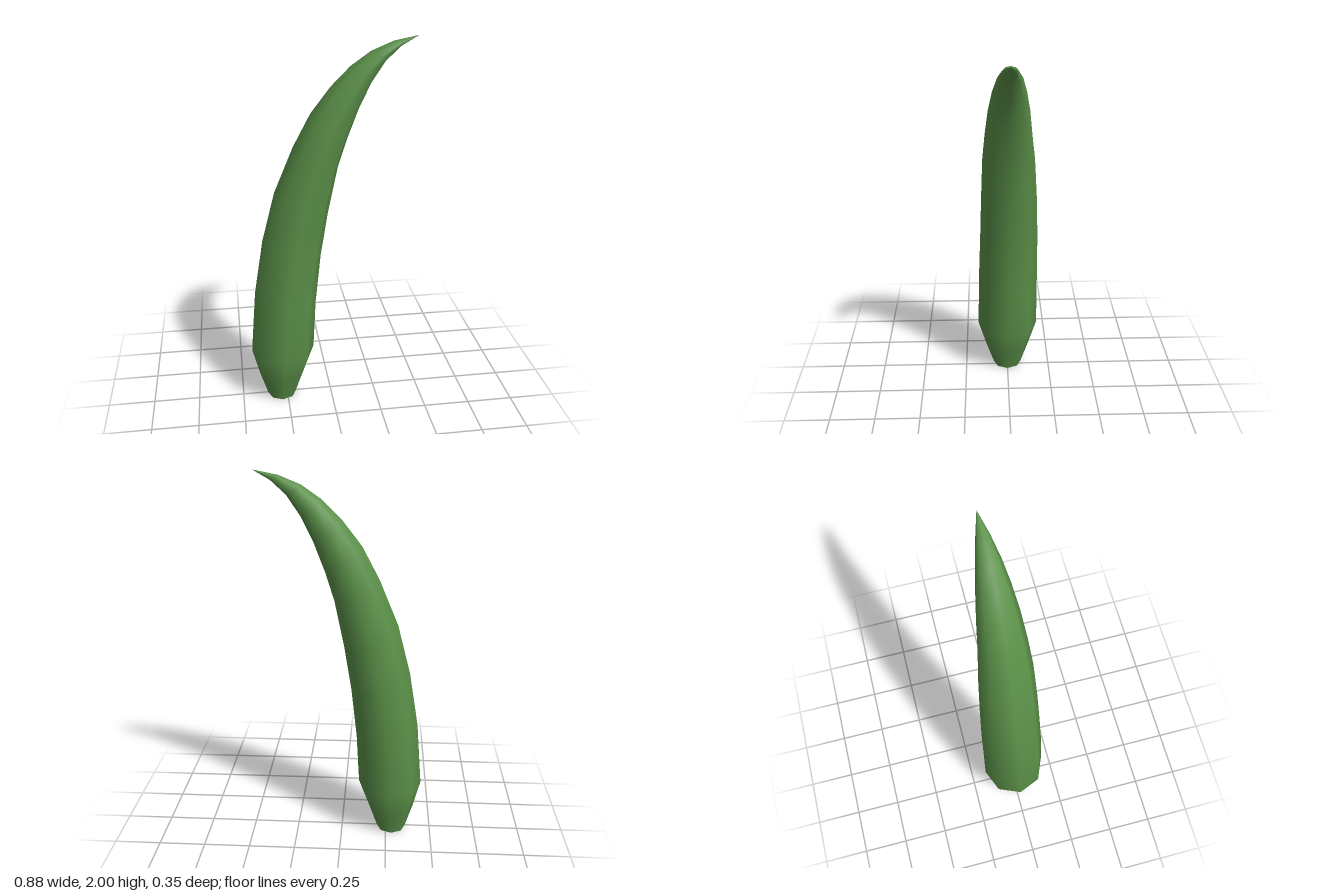
import * as THREE from 'three';

// Each cross-section: outer edge x, y, inner edge x, y, half depth, depth offset
const SECTIONS = [
  [-0.36, 0, -0.2, 0, 0.083, 0],
  [-0.4, 0.13, -0.15, 0.14, 0.127, 0],
  [-0.44, 0.29, -0.095, 0.29, 0.173, -0.001],
  [-0.41, 0.65, -0.08, 0.57, 0.168, -0.004],
  [-0.36, 0.95, -0.05, 0.85, 0.16, -0.008],
  [-0.29, 1.22, -0.012, 1.09, 0.15, -0.007],
  [-0.19, 1.46, 0.04, 1.345, 0.136, -0.003],
  [-0.1, 1.63, 0.085, 1.49, 0.119, 0],
  [0, 1.76, 0.145, 1.65, 0.102, 0],
  [0.1, 1.86, 0.205, 1.775, 0.082, 0],
  [0.2, 1.93, 0.275, 1.88, 0.059, 0],
  [0.31, 1.975, 0.35, 1.95, 0.033, 0],
  [0.437, 2, 0.437, 2, 0, 0],
];
const SIDES = 8;

// Skin eight-sided rings, sharing vertices so the shading stays smooth
function loftGeometry(sections) {
  const positions = [];
  const indices = [];
  sections.forEach(([ox, oy, ix, iy, depth, dz], ring) => {
    for (let s = 0; s < SIDES; s++) {
      const a = (s / SIDES) * Math.PI * 2;
      const t = (1 + Math.cos(a)) / 2;
      positions.push(ox + (ix - ox) * t, oy + (iy - oy) * t, dz + depth * Math.sin(a));
      if (ring === sections.length - 1) continue;
      const p = ring * SIDES + s;
      const q = ring * SIDES + ((s + 1) % SIDES);
      indices.push(p, p + SIDES, q);
      // The last band closes to a point, so it needs only one triangle per side
      if (ring < sections.length - 2) indices.push(q, p + SIDES, q + SIDES);
    }
  });
  const geometry = new THREE.BufferGeometry();
  geometry.setAttribute('position', new THREE.Float32BufferAttribute(positions, 3));
  geometry.setIndex(indices);
  geometry.computeVertexNormals();
  return geometry;
}

export function createModel() {
  const group = new THREE.Group();
  group.name = 'curvedLeaf';

  // Thick curved blade, open at its narrow base
  const material = new THREE.MeshStandardMaterial({ color: 0x5a9048, side: THREE.DoubleSide });
  const blade = new THREE.Mesh(loftGeometry(SECTIONS), material);
  blade.name = 'leafBlade';
  group.add(blade);

  return group;
}
